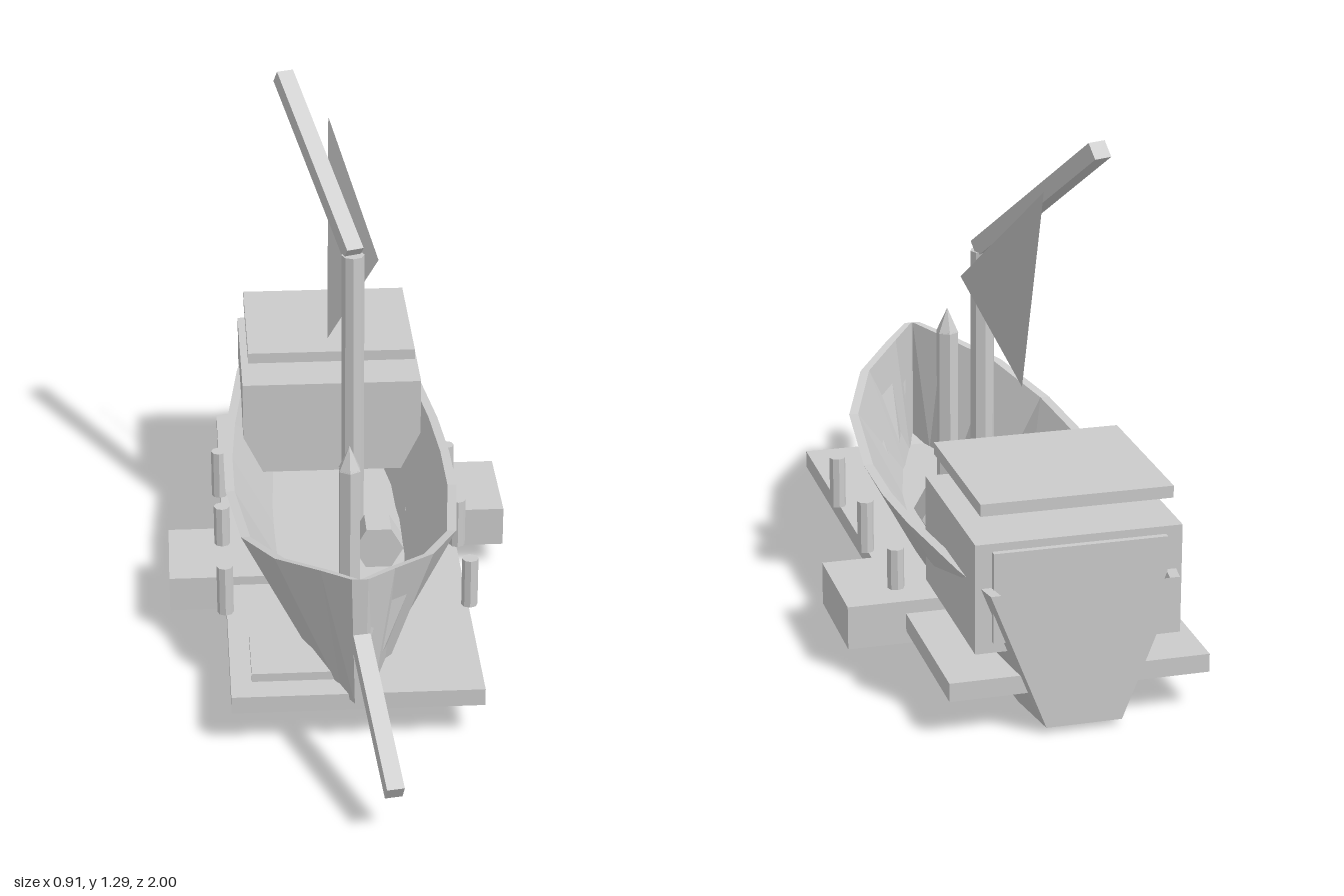
import * as THREE from 'three';

const material = new THREE.MeshStandardMaterial({ color: 0xcccccc, flatShading: true, side: THREE.DoubleSide });

export function createModel() {
  const model = new THREE.Group();
  model.name = 'boat';

  const add = (name, geometry, x = 0, y = 0, z = 0) => {
    const mesh = new THREE.Mesh(geometry, material);
    mesh.name = name;
    mesh.position.set(x, y, z);
    model.add(mesh);
    return mesh;
  };

  // Box given by its two extreme corners
  const box = (name, [x0, y0, z0], [x1, y1, z1]) =>
    add(name, new THREE.BoxGeometry(x1 - x0, y1 - y0, z1 - z0), (x0 + x1) / 2, (y0 + y1) / 2, (z0 + z1) / 2);

  // Upright post between two heights
  const post = (name, radius, sides, x, z, y0, y1) =>
    add(name, new THREE.CylinderGeometry(radius, radius, y1 - y0, sides), x, (y0 + y1) / 2, z);

  // Square beam running between two points
  const beam = (name, from, to, width, height) => {
    const a = new THREE.Vector3(...from), b = new THREE.Vector3(...to);
    const mesh = add(name, new THREE.BoxGeometry(width, height, a.distanceTo(b)));
    mesh.position.copy(a).add(b).multiplyScalar(0.5);
    mesh.lookAt(b);
    return mesh;
  };

  add('hull', hullGeometry());

  // Deck slab passing through the hull, with a hatch and side floats
  box('deck', [-0.31, 0.093, -0.97], [0.31, 0.138, 0.58]);
  box('hatch', [-0.258, 0.089, 0.305], [-0.05, 0.16, 0.51]);
  box('leftFloat', [0.187, 0.062, -0.565], [0.452, 0.17, -0.282]);
  box('rightFloat', [-0.455, 0.068, -0.235], [-0.19, 0.162, 0.03]);

  // Cabin with rear panel and raised roof
  box('cabin', [-0.244, 0.192, -0.948], [0.244, 0.457, -0.498]);
  box('cabinRearPanel', [-0.205, 0.22, -0.963], [0.205, 0.438, -0.94]);
  box('cabinRoof', [-0.227, 0.517, -0.93], [0.227, 0.546, -0.513]);

  // Mooring posts along both sides
  for (const side of [-1, 1]) {
    for (const z of [0.165, -0.155, -0.475]) post('mooringPost', 0.021, 8, side * 0.313, z, 0.138, 0.272);
  }

  // Mast, boom and torn sail
  post('mast', 0.03, 8, 0.041, -0.267, 0.13, 0.935);
  beam('boom', [0.042, 0.94, -0.262], [-0.117, 1.277, -0.69], 0.046, 0.042);
  const sail = new THREE.BufferGeometry();
  sail.setAttribute('position', new THREE.Float32BufferAttribute(
    [0, 1.175, -0.643, 0.112, 0.892, -0.328, -0.017, 0.63, -0.417], 3));
  sail.computeVertexNormals();
  add('sail', sail);

  // Pointed fore post and bowsprit
  post('forePost', 0.029, 6, 0, 0.227, 0.13, 0.572);
  add('forePostTip', new THREE.ConeGeometry(0.03, 0.065, 6), 0, 0.602, 0.227);
  beam('bowsprit', [0, 0.33, 0.642], [0.055, 0.12, 0.988], 0.042, 0.042);

  // Small six-sided chest on the deck
  const chest = add('chest', new THREE.CylinderGeometry(0.065, 0.065, 0.085, 6), 0.095, 0.192, -0.085);
  chest.geometry.rotateY(Math.PI / 2).rotateX(Math.PI / 2);

  return model;
}

// Thick open hull lofted from stern to bow
function hullGeometry() {
  // z, rim half width, rim height, keel half width, keel height
  const stations = [
    [-1.0, 0.222, 0.352, 0.09, 0.015],
    [-0.82, 0.252, 0.348, 0.105, 0],
    [-0.5, 0.29, 0.344, 0.118, 0],
    [-0.3, 0.303, 0.342, 0.122, 0.003],
    [-0.1, 0.303, 0.345, 0.12, 0.005],
    [0.2, 0.272, 0.373, 0.102, 0.037],
    [0.4, 0.195, 0.42, 0.075, 0.085],
    [0.53, 0.09, 0.456, 0.04, 0.112],
    [0.612, 0.02, 0.475, 0.012, 0.13],
  ];
  const wall = 0.024;
  const positions = [];
  const quad = (a, b, c, d) => positions.push(...a, ...b, ...c, ...a, ...c, ...d);

  // Closed section: outer skin from rim to rim, then back along the inner skin
  const sections = stations.map(([z, rim, top, keel, bottom]) => {
    const innerRim = Math.max(rim - wall, 0.002);
    const innerKeel = Math.max(keel - wall / 2, 0.001);
    return [
      [-rim, top], [-keel, bottom], [keel, bottom], [rim, top],
      [innerRim, top], [innerKeel, bottom + 0.02], [-innerKeel, bottom + 0.02], [-innerRim, top],
    ].map(([x, y]) => [x, y, z]);
  });
  for (let i = 0; i < sections.length - 1; i++) {
    const a = sections[i], b = sections[i + 1];
    for (let j = 0; j < 8; j++) {
      const k = (j + 1) % 8;
      quad(a[j], a[k], b[k], b[j]);
    }
  }

  // Transom and stem faces
  const stern = sections[0], bow = sections[sections.length - 1];
  quad(stern[0], stern[3], stern[2], stern[1]);
  quad(bow[0], bow[1], bow[2], bow[3]);

  const geometry = new THREE.BufferGeometry();
  geometry.setAttribute('position', new THREE.Float32BufferAttribute(positions, 3));
  geometry.computeVertexNormals();
  return geometry;
}
